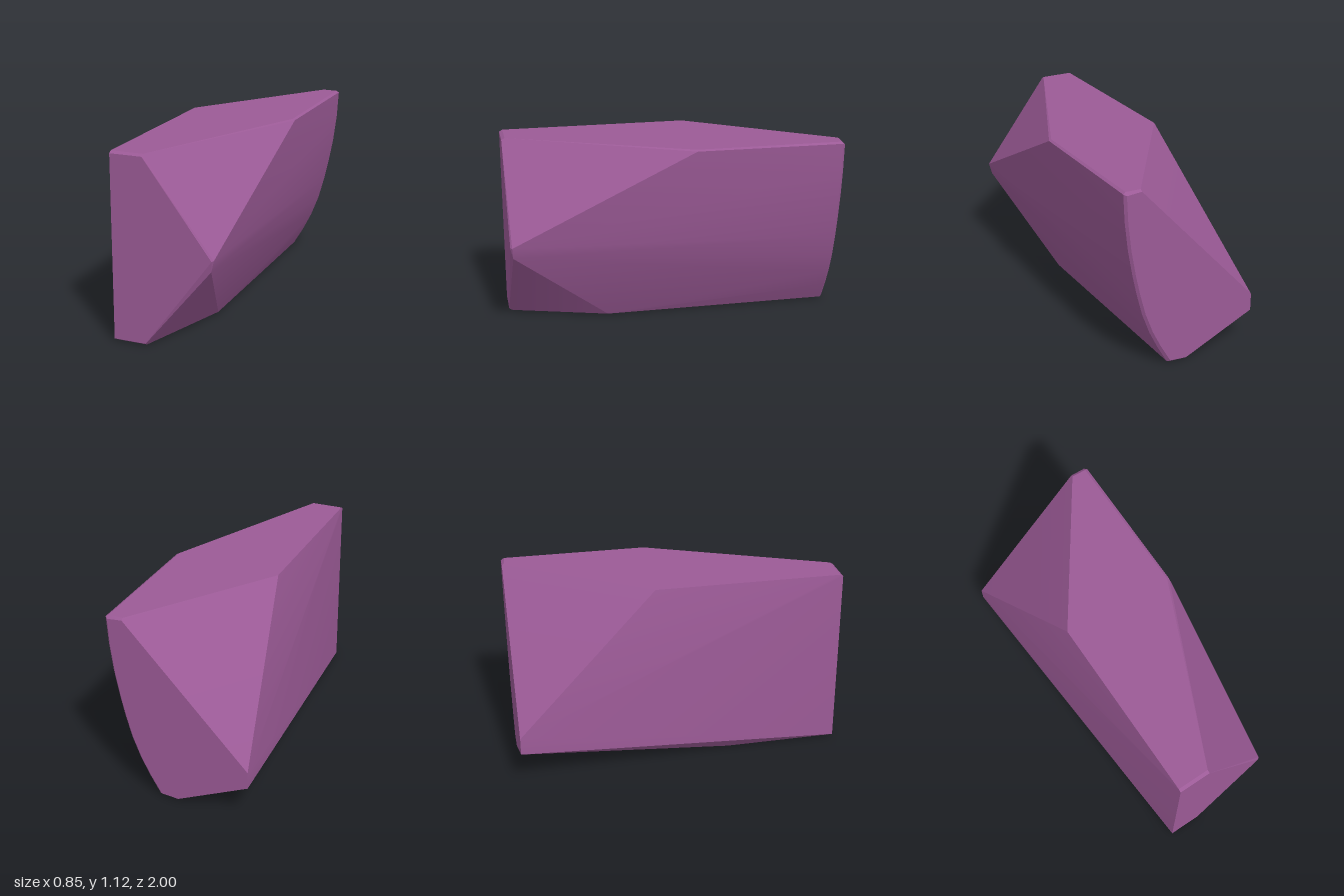
import * as THREE from 'three';
import { ConvexGeometry } from 'three/addons/geometries/ConvexGeometry.js';
import { toCreasedNormals } from 'three/addons/utils/BufferGeometryUtils.js';

const TOP = 1.125;

export function createModel() {
  const group = new THREE.Group();
  const points = [];
  const add = (x, y, z) => points.push(new THREE.Vector3(x, y, z));

  // bowed side profile (x, y) along the back end, with a small bevel to the end face
  const bow = [
    [0.13, 0.008], [0.195, 0.12], [0.25, 0.23], [0.3, 0.36], [0.338, 0.5],
    [0.365, 0.62], [0.395, 0.78], [0.416, 0.95], [0.426, 1.115],
  ];
  for (const [x, y] of bow) {
    add(x, y, -0.985);
    add(x - 0.014, 0.01 + y * 0.985, -1);
  }
  add(0.1, 0, -0.98);
  add(0.41, TOP, -0.98);

  // narrow back edge
  add(-0.428, 0.31, -1);
  add(-0.428, 0.205, -1);

  // back ends of the creases on the top and underside
  add(0.32, TOP, -0.985);
  add(0.32, TOP - 0.01, -1);
  add(0.01, 0, -0.985);
  add(0.01, 0.008, -1);

  // corners along the top and underside
  add(-0.262, TOP, -0.15);
  add(0.424, TOP - 0.008, -0.1);
  add(0.41, TOP, -0.1);
  add(-0.262, 0.008, 0.31);
  add(-0.24, 0, 0.31);
  add(0.13, 0.008, 0.4);
  add(0.1, 0, 0.42);

  // front face, bevelled at top and bottom
  for (const x of [-0.262, -0.065]) {
    add(x, TOP, 0.98);
    add(x, TOP - 0.012, 1);
    add(x, 0.012, 1);
  }
  add(-0.225, 0, 0.98);
  add(-0.065, 0, 0.98);

  // front nose
  add(0.355, 0.57, 0.99);
  add(0.345, 0.565, 1);
  add(0.337, 0.5, 0.985);
  add(0.312, 0.525, 1);

  const block = new THREE.Mesh(
    toCreasedNormals(new ConvexGeometry(points), 0.3),
    new THREE.MeshStandardMaterial({ color: 0x9b5a96 })
  );
  block.name = 'facetedBlock';
  group.add(block);
  return group;
}
